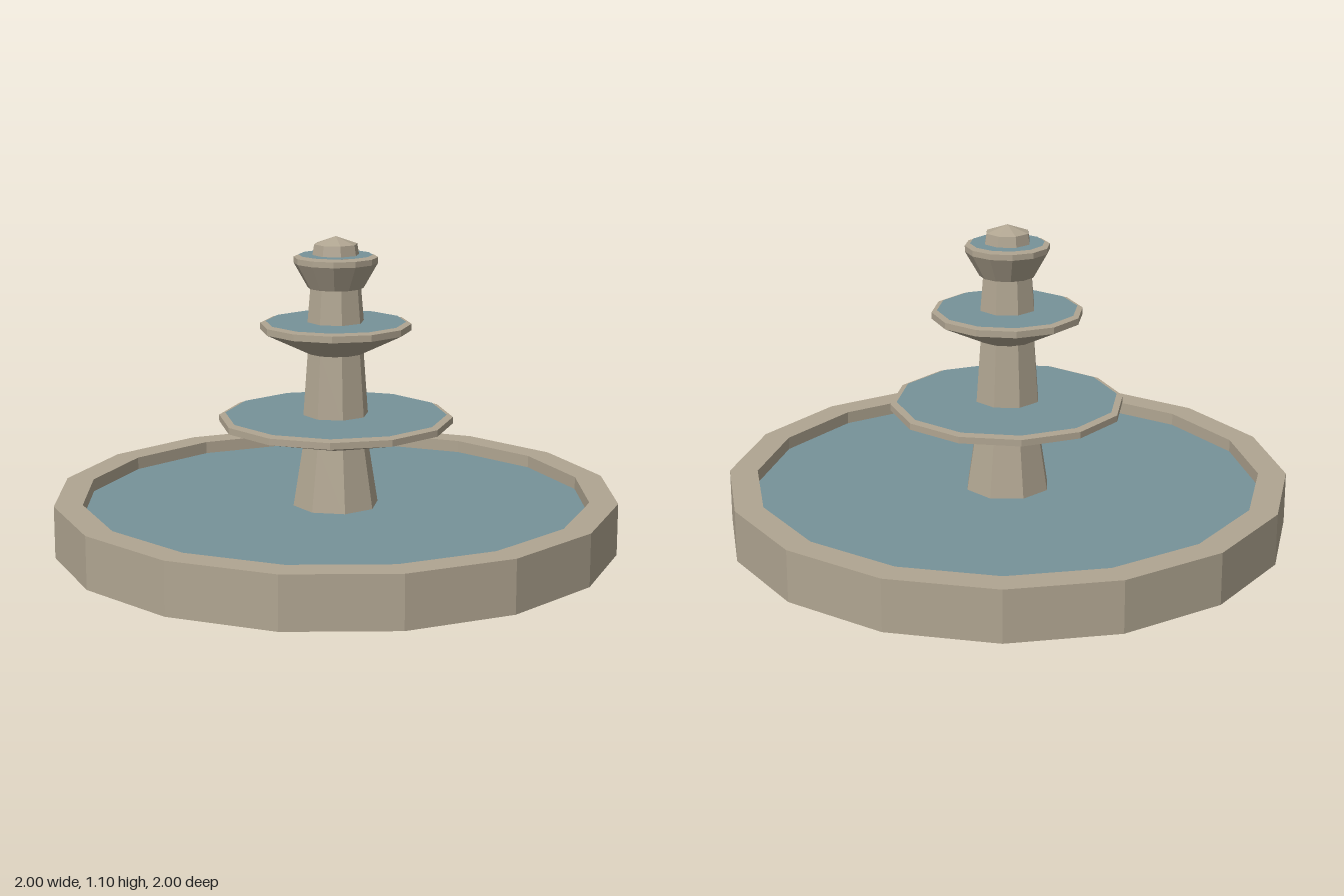
import * as THREE from 'three';

export function createModel() {
  const fountain = new THREE.Group();
  fountain.name = 'fountain';

  const stone = new THREE.MeshStandardMaterial({ color: 0xb0a591, flatShading: true });
  stone.name = 'stone';
  const water = new THREE.MeshStandardMaterial({ color: 0x769299, side: THREE.DoubleSide });
  water.name = 'water';

  // Faceted stone part turned from a [radius, height] profile, listed bottom to top
  function turned(name, sides, profile) {
    const points = profile.map(([r, y]) => new THREE.Vector2(r, y));
    const mesh = new THREE.Mesh(new THREE.LatheGeometry(points, sides), stone);
    mesh.name = name;
    fountain.add(mesh);
  }

  // Flat sheet of water
  function pool(name, sides, radius, y) {
    const mesh = new THREE.Mesh(new THREE.CircleGeometry(radius, sides).rotateX(-Math.PI / 2), water);
    mesh.name = name;
    mesh.position.y = y;
    fountain.add(mesh);
  }

  // Ground basin with a raised wall
  turned('basin', 16, [[0, 0], [1, 0], [1, 0.185], [0.9, 0.185], [0.9, 0.12], [0, 0.12]]);
  pool('basinWater', 16, 0.9, 0.14);

  // Three tiers: an octagonal column carrying a twelve-sided bowl
  const tiers = [
    { name: 'lower', column: [0.157, 0.12, 0.117, 0.37], bowl: [0.115, 0.36, 0.415, 0.437, 0.46], pool: [0.393, 0.468] },
    { name: 'middle', column: [0.118, 0.455, 0.1, 0.7], bowl: [0.1, 0.69, 0.266, 0.77, 0.793], pool: [0.247, 0.8] },
    { name: 'upper', column: [0.102, 0.79, 0.09, 0.93], bowl: [0.098, 0.92, 0.148, 1.008, 1.028], pool: [0.13, 1.036] },
  ];
  for (const { name, column, bowl, pool: sheet } of tiers) {
    const [r0, y0, r1, y1] = column;
    turned(`${name}Column`, 8, [[0, y0], [r0, y0], [r1, y1], [0, y1]]);
    const [foot, base, rim, lip, top] = bowl;
    turned(`${name}Bowl`, 12, [[0, base], [foot, base], [rim, lip], [rim, top], [0, top]]);
    pool(`${name}Water`, 12, sheet[0], sheet[1]);
  }

  // Pointed cap
  turned('finial', 8, [[0, 1.02], [0.086, 1.02], [0.077, 1.073], [0, 1.1]]);

  return fountain;
}
